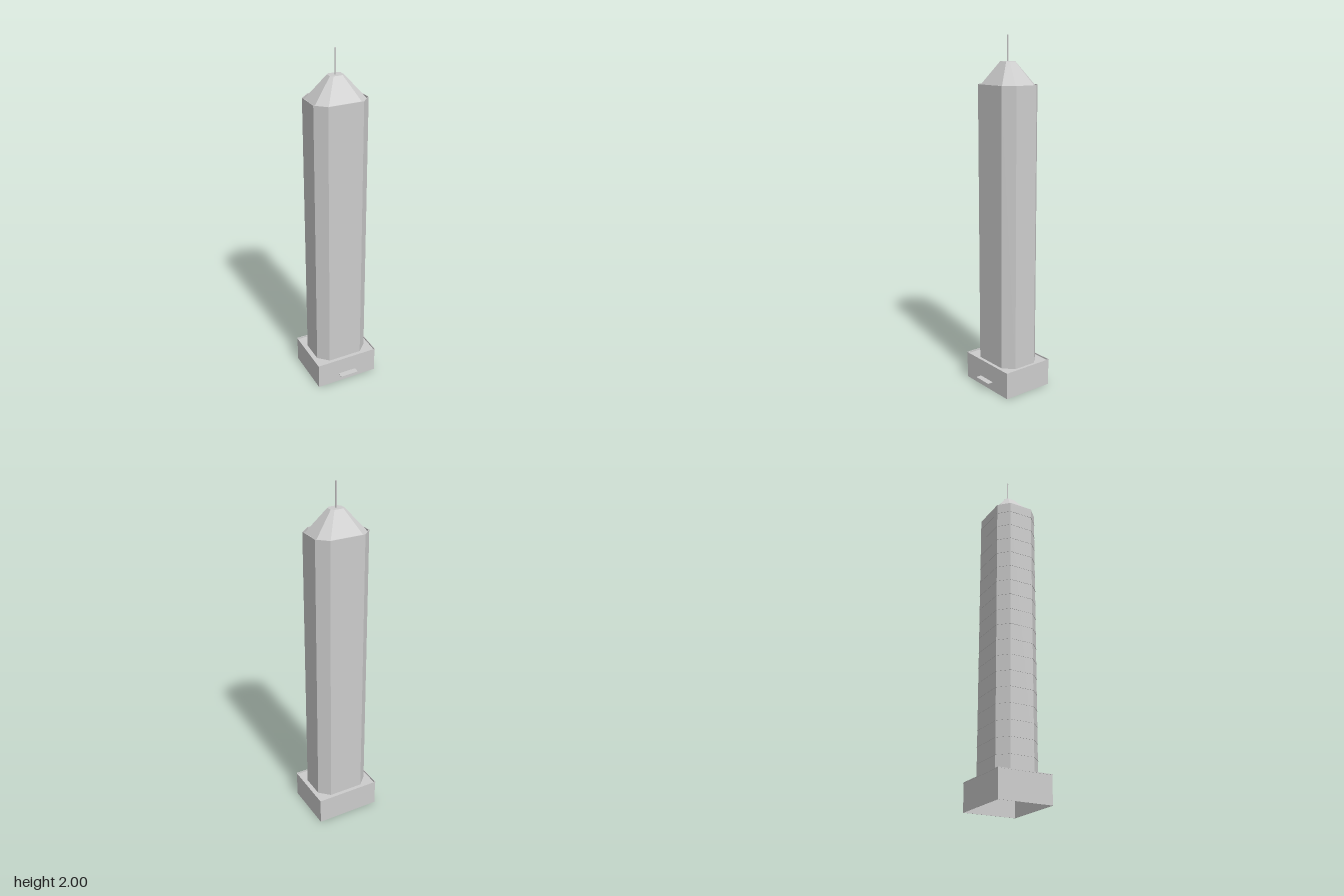
import * as THREE from 'three';

const CENTER_Z = -0.0155;

// Outline of a rectangle with half sizes a, b whose corners are cut at ca, cb
function outline(a, b, ca = a, cb = b) {
  const points = [];
  for (const [sx, sy] of [[1, 1], [-1, 1], [-1, -1], [1, -1]]) {
    const long = [sx * ca, sy * b], side = [sx * a, sy * cb];
    const pair = sx * sy > 0 ? [side, long] : [long, side];
    points.push(...(ca === a ? [side] : pair));
  }
  return points.map(([x, y]) => new THREE.Vector2(x, y));
}

// Upright prism between two heights, optionally hollow
function prism(points, y0, y1, hole) {
  const shape = new THREE.Shape(points);
  if (hole) shape.holes.push(new THREE.Path(hole));
  return new THREE.ExtrudeGeometry(shape, { depth: y1 - y0, bevelEnabled: false })
    .rotateX(-Math.PI / 2).translate(0, y0, 0);
}

// Tapered solid between two outlines with the same number of corners
function taper(lower, y0, upper, y1) {
  const pos = [], n = lower.length;
  const at = (p, y) => [p.x, y, -p.y];
  for (let i = 0; i < n; i++) {
    const j = (i + 1) % n;
    const a = at(lower[i], y0), b = at(lower[j], y0);
    const c = at(upper[j], y1), d = at(upper[i], y1);
    pos.push(...a, ...b, ...c, ...a, ...c, ...d, ...d, ...c, 0, y1, 0);
  }
  const geometry = new THREE.BufferGeometry();
  geometry.setAttribute('position', new THREE.Float32BufferAttribute(pos, 3));
  geometry.computeVertexNormals();
  return geometry;
}

export function createModel() {
  const model = new THREE.Group();
  model.name = 'tower';
  const gray = new THREE.MeshStandardMaterial({ color: 0xcccccc });
  gray.name = 'light gray';

  const add = (name, geometry, z = CENTER_Z) => {
    const mesh = new THREE.Mesh(geometry, gray);
    mesh.name = name;
    mesh.position.z = z;
    model.add(mesh);
    return mesh;
  };

  const wall = outline(0.159, 0.125, 0.102, 0.069);
  const ledge = outline(0.161, 0.127, 0.103, 0.07);
  const eaves = outline(0.156, 0.1215, 0.1, 0.067);

  // Hollow podium, open underneath, with a thin lip around its roof
  const podium = outline(0.189, 0.155), podiumInner = outline(0.187, 0.153);
  add('podiumWalls', prism(podium, 0, 0.157, podiumInner));
  add('podiumRoof', prism(podiumInner, 0.144, 0.148));
  add('podiumLip', prism(outline(0.191, 0.157), 0.153, 0.157, podium));

  // Entrance canopy
  add('canopy', new THREE.BoxGeometry(0.112, 0.002, 0.036).translate(0, 0.053, 0), 0.155);

  // Eight-sided shaft whose walls rise into a parapet around the roof
  add('shaft', prism(wall, 0.148, 1.726));
  add('parapet', prism(wall, 1.726, 1.74, eaves));

  // Narrow soffits under each storey
  const ring = new THREE.Shape(ledge);
  ring.holes.push(new THREE.Path(wall));
  const soffit = new THREE.ShapeGeometry(ring).rotateX(Math.PI / 2);
  for (let i = 0; i < 17; i++) {
    add('storeySoffit', soffit).position.y = 0.24 + i * 0.09;
  }

  // Sloping roof with a flat top, and the mast
  add('roof', taper(eaves, 1.726, outline(0.04, 0.0315, 0.026, 0.018), 1.862));
  add('mast', new THREE.CylinderGeometry(0.0045, 0.0045, 0.14, 16).translate(0, 1.93, 0));

  return model;
}
